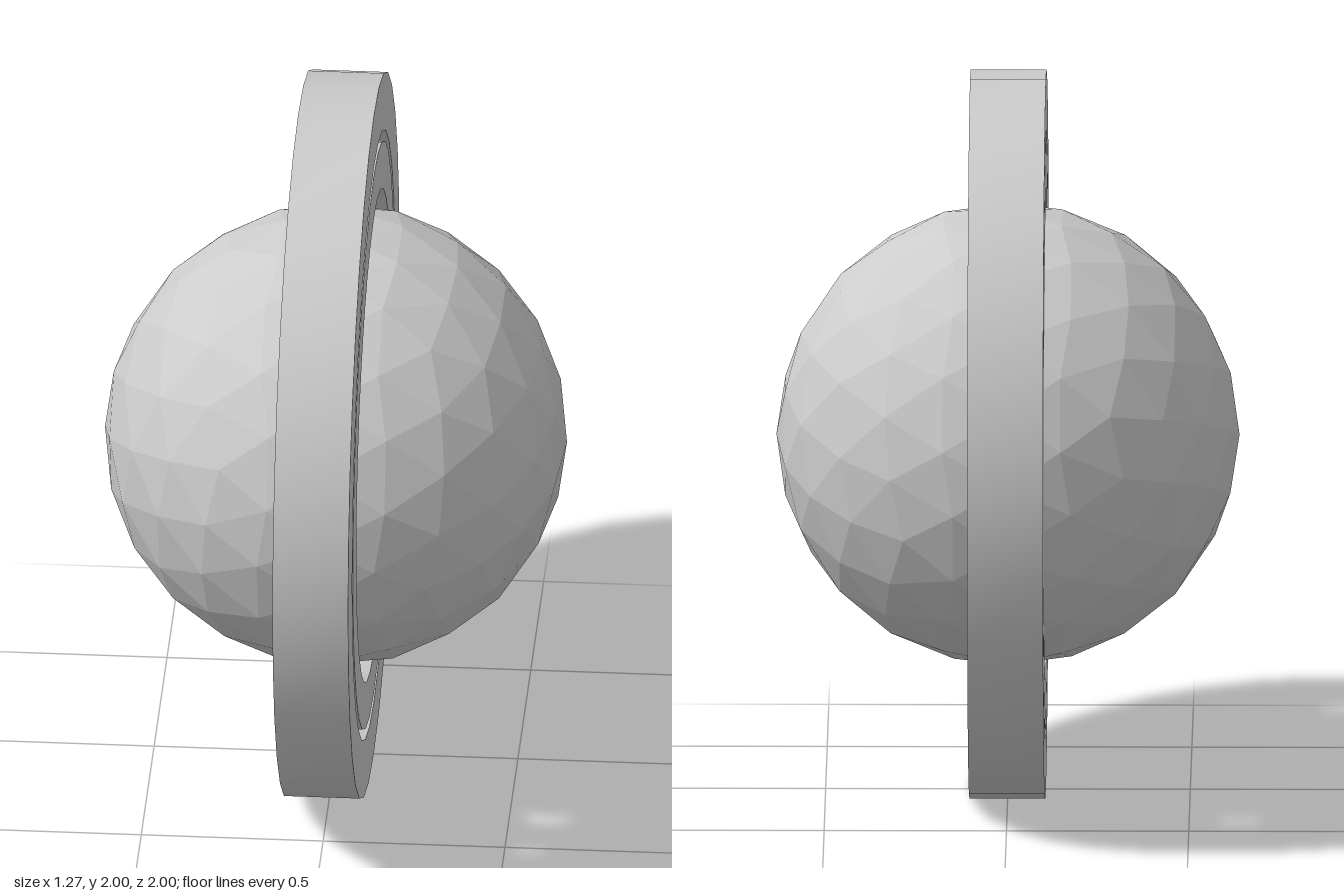
import * as THREE from 'three';
import { toCreasedNormals } from 'three/addons/utils/BufferGeometryUtils.js';

// Flat band with a rectangular section, turned around the x axis
function ringGeometry(inner, outer, halfWidth) {
  const profile = [
    [inner, -halfWidth], [outer, -halfWidth], [outer, halfWidth],
    [inner, halfWidth], [inner, -halfWidth],
  ].map(([r, y]) => new THREE.Vector2(r, y));
  const geometry = new THREE.LatheGeometry(profile, 32);
  geometry.rotateZ(Math.PI / 2);
  return toCreasedNormals(geometry, 0.6);
}

// Icosahedron whose triangles are repeatedly quartered and pushed out to the sphere
function icoSphereGeometry(radius, levels) {
  const base = new THREE.IcosahedronGeometry(1, 0).getAttribute('position');
  let points = [];
  for (let i = 0; i < base.count; i++) {
    points.push(new THREE.Vector3().fromBufferAttribute(base, i));
  }
  const middle = (p, q) => p.clone().add(q).normalize();
  for (let level = 0; level < levels; level++) {
    const next = [];
    for (let i = 0; i < points.length; i += 3) {
      const [a, b, c] = points.slice(i, i + 3);
      const ab = middle(a, b), bc = middle(b, c), ca = middle(c, a);
      next.push(a, ab, ca, ab, b, bc, ca, bc, c, ab, bc, ca);
    }
    points = next;
  }
  const geometry = new THREE.BufferGeometry().setFromPoints(points);
  geometry.scale(radius, radius, radius);
  // Bring two opposite corners of the icosahedron onto the x axis
  geometry.rotateZ(Math.atan((1 + Math.sqrt(5)) / 2));
  geometry.computeVertexNormals();
  return geometry;
}

export function createModel() {
  const model = new THREE.Group();
  model.name = 'ringedSphere';

  const grey = new THREE.MeshStandardMaterial({ color: 0xcccccc });
  grey.name = 'light grey';

  const add = (name, geometry) => {
    const mesh = new THREE.Mesh(geometry, grey);
    mesh.name = name;
    mesh.position.y = 1;
    model.add(mesh);
  };

  // Faceted core with two concentric upright rings
  add('core', icoSphereGeometry(0.635, 2));
  add('innerRing', ringGeometry(0.68, 0.81, 0.104));
  add('outerRing', ringGeometry(0.84, 1, 0.104));

  return model;
}
